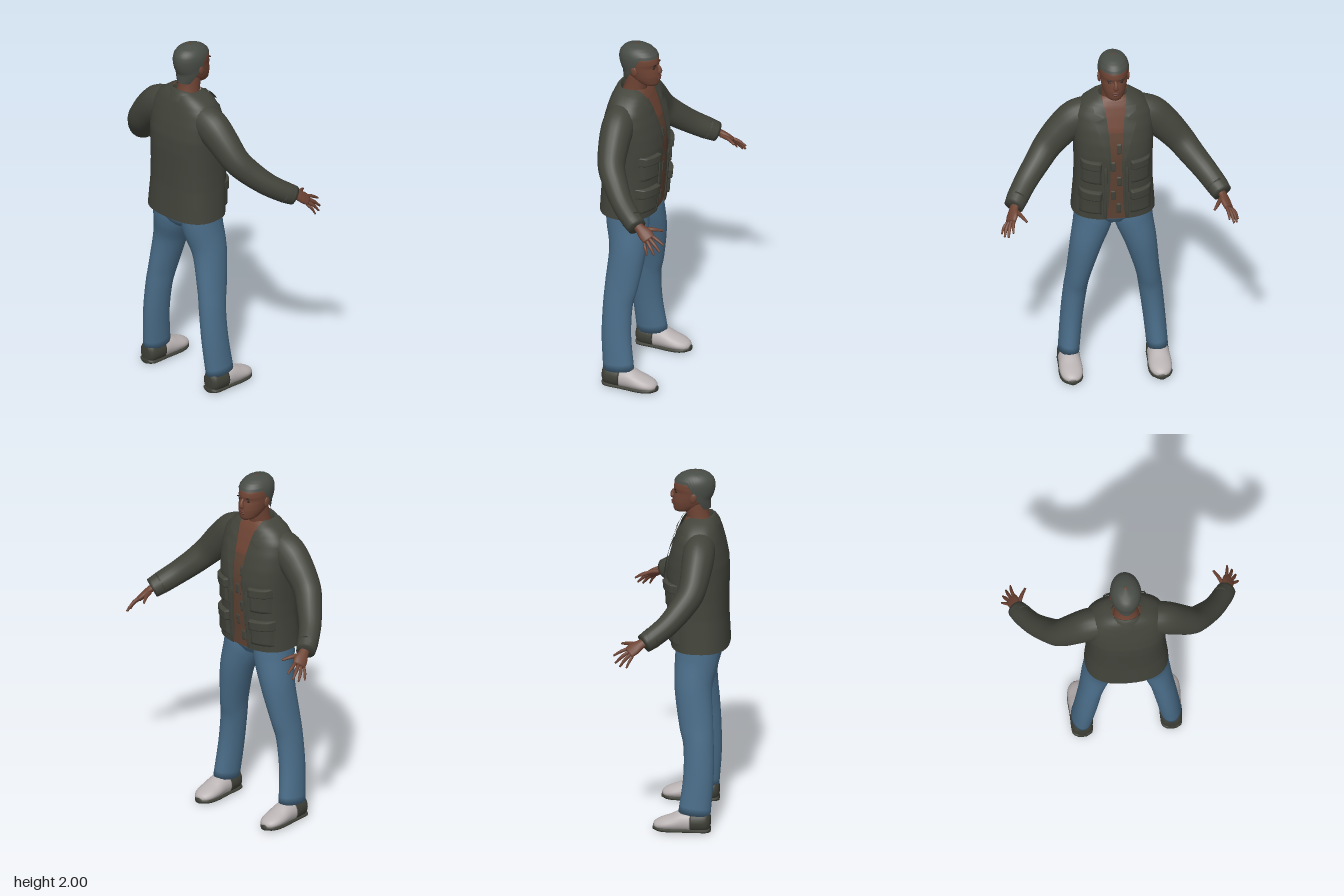
import * as THREE from 'three';

const mat = (name, color, side = THREE.FrontSide) => {
  const m = new THREE.MeshStandardMaterial({ color, side });
  m.name = name;
  return m;
};
const V = (x, y, z) => new THREE.Vector3(x, y, z);
const lerp = THREE.MathUtils.lerp;

// Grid of points from a rule (u around, v along), smooth shaded
function surface(fn, nu, nv, closed = false) {
  const pos = [], idx = [], w = closed ? nu : nu + 1;
  for (let j = 0; j <= nv; j++)
    for (let i = 0; i < w; i++) pos.push(...fn(i / nu, j / nv).toArray());
  for (let j = 0; j < nv; j++)
    for (let i = 0; i < nu; i++) {
      const a = j * w + i, b = j * w + (i + 1) % w;
      idx.push(a, b, a + w, b, b + w, a + w);
    }
  const g = new THREE.BufferGeometry();
  g.setAttribute('position', new THREE.Float32BufferAttribute(pos, 3));
  g.setIndex(idx);
  g.computeVertexNormals();
  return g;
}

// Smooth capped tube through [x, y, z, halfWidth, halfDepth] stations
function sweep(st, side = [1, 0, 0], nu = 20, floor = -1, per = 5) {
  const c = new THREE.CatmullRomCurve3(st.map(p => V(p[0], p[1], p[2])), false, 'catmullrom');
  const r = new THREE.CatmullRomCurve3(st.map(p => V(p[3], p[4], 0)), false, 'catmullrom');
  const n = (st.length - 1) * per;
  return surface((u, v) => {
    const k = Math.round(v * (n + 2)) - 1, t = Math.min(Math.max(k / n, 0), 1);
    const p = c.getPoint(t), q = r.getPoint(t), T = c.getTangent(t);
    const U = V(...side).addScaledVector(T, -V(...side).dot(T)).normalize();
    const W = V(0, 0, 0).crossVectors(T, U), end = k < 0 || k > n ? 0 : 1, a = u * Math.PI * 2;
    p.addScaledVector(U, q.x * Math.cos(a) * end).addScaledVector(W, q.y * Math.sin(a) * end);
    p.y = Math.max(p.y, floor);
    return p;
  }, nu, n + 2, true);
}

// Upright body form from rows of [y, halfWidth, frontZ, backZ, frontGap]
function form(rows, e) {
  const S = t => Math.sign(t) * Math.abs(t) ** e;
  const at = y => {
    let i = 0;
    while (i < rows.length - 2 && y > rows[i + 1][0]) i++;
    const t = THREE.MathUtils.clamp((y - rows[i][0]) / (rows[i + 1][0] - rows[i][0]), 0, 1);
    return rows[i].map((q, k) => lerp(q, rows[i + 1][k], t));
  };
  const pt = (a, y, grow = 0) => {
    const [, rx, f, b] = at(y), h = (b - f) / 2;
    return V((rx + grow) * S(Math.sin(a)), y, (f + b) / 2 - (h + grow) * S(Math.cos(a)));
  };
  const angle = (x, y) => Math.asin(Math.min(1, (Math.abs(x) / at(y)[1]) ** (1 / e))) * Math.sign(x);
  return { at, pt, angle, on: (x, y, out = 0) => pt(angle(x, y), y).add(V(0, 0, -out)) };
}

const coat = form([
  [1.015, .228, -.03, .29, .05], [1.1, .222, -.035, .286, .042], [1.2, .215, -.045, .281, .036],
  [1.3, .213, -.05, .282, .032], [1.42, .216, -.055, .285, .032], [1.5, .22, -.045, .282, .036],
  [1.58, .22, -.025, .266, .042], [1.65, .208, 0, .247, .05], [1.7, .17, .02, .232, .058],
  [1.735, .12, .04, .215, .065], [1.75, .08, .06, .2, .065]], .8);

const skull = form([
  [1.765, .02, -.005, .06], [1.772, .038, -.014, .08], [1.785, .05, -.02, .11], [1.81, .062, -.023, .15],
  [1.83, .068, -.024, .17], [1.86, .074, -.019, .19], [1.885, .077, -.012, .198], [1.905, .079, -.018, .202],
  [1.93, .079, -.014, .203], [1.955, .073, -.002, .196], [1.975, .06, .02, .18], [1.988, .043, .045, .16],
  [1.996, .02, .075, .13], [1.998, .001, .1, .105]], 1);

export function createModel() {
  const D = THREE.DoubleSide;
  const M = {
    jacket: mat('jacket olive', 0x42443b, D), jeans: mat('denim blue', 0x4a6d89),
    skin: mat('skin brown', 0x6d4333), hair: mat('hair grey', 0x484c46, D),
    shirt: mat('shirt brown', 0x5e4233, D), white: mat('shoe white', 0xb9b2b2),
    sole: mat('sole dark', 0x3e4037), lips: mat('lip brown', 0x5c352c), dark: mat('eye dark', 0x241c19)
  };
  const root = new THREE.Group();
  root.name = 'standingMan';
  const add = (name, geo, m) => {
    const o = new THREE.Mesh(geo, m);
    o.name = name;
    root.add(o);
    return o;
  };
  const ball = (name, m, p, s) => {
    const o = add(name, new THREE.SphereGeometry(1, 14, 10), m);
    o.position.set(...p);
    o.scale.set(...s);
    return o;
  };
  // Panel lying on the coat front; rims fall back so that it reads as padded
  const panel = (name, s, x0, x1, y0, y1, out, m = M.jacket, sink = 0) => add(name, surface((u, v) => {
    const k = s > 0 ? u : 1 - u, y = lerp(y1, y0, v);
    const rim = Math.min(u, 1 - u, v, 1 - v) < .01 ? 0 : 1;
    return coat.on(s * lerp(x0, x1, k), y, out * rim - sink);
  }, 12, 12), m);

  // Jacket body, open down the front
  add('jacketBody', surface((u, v) => {
    const y = lerp(1.75, 1.015, v), a0 = coat.angle(coat.at(y)[4], y);
    return coat.pt(lerp(a0, Math.PI * 2 - a0, u), y);
  }, 48, 44), M.jacket);

  // Shirt and bare upper chest under the jacket
  const inner = (name, y0, y1, m) => add(name, surface((u, v) =>
    coat.pt(u * Math.PI * 2, lerp(y1, y0, v), -.014), 40, 16, true), m);
  inner('shirt', 1.01, 1.56, M.shirt);
  inner('upperChest', 1.56, 1.745, M.skin);
  [[-1, 1.47], [1, 1.36], [-1, 1.26], [1, 1.17], [-1, 1.08]].forEach(([s, y]) =>
    panel('shirtPatch', s, .004, .028, y - .03, y + .03, .004, M.jacket, .012));

  // Folded collar around the neck
  add('collar', surface((u, v) => {
    const a = lerp(.5, Math.PI * 2 - .5, u), k = (1 + Math.cos(a)) / 2;
    const [r, dy] = [[.082, -.05], [.084, -.012], [.092, 0], [.108, -.016], [.13, -.055]][Math.round(v * 4)];
    return V(r * Math.sin(a), 1.762 + dy - .055 * k, .122 - r * .85 * Math.cos(a));
  }, 32, 4), M.jacket);

  // Head and neck
  add('head', surface((u, v) => skull.pt(u * Math.PI * 2, lerp(1.998, 1.765, v)), 32, 36, true), M.skin);
  add('neck', sweep([[0, 1.66, .135, .075, .07], [0, 1.74, .115, .062, .062], [0, 1.83, .1, .058, .062]]), M.skin);

  // Short hair: low at the nape, high over the brow
  add('hair', surface((u, v) => {
    const a = u * Math.PI * 2, c = Math.cos(a);
    const low = c > .25 ? 1.94 : c > -.1 ? lerp(1.87, 1.94, (c + .1) / .35) : lerp(1.87, 1.79, Math.min(1, (-c - .1) / .5));
    const y = lerp(1.998, low, v), p = skull.pt(a, y, .006);
    p.y += .003 * (1 - v);
    if (y < 1.86) p.z = Math.max(p.z, .1 - .085 * c);
    return p;
  }, 40, 20, true), M.hair);

  // Face
  add('nose', sweep([[0, 1.895, -.008, .007, .007], [0, 1.872, -.022, .01, .012], [0, 1.853, -.024, .016, .013],
    [0, 1.845, -.016, .011, .008]], [1, 0, 0], 12), M.skin);
  ball('upperLip', M.lips, [0, 1.823, -.022], [.022, .006, .009]);
  ball('lowerLip', M.lips, [0, 1.812, -.021], [.019, .006, .009]);

  for (const s of [1, -1]) {
    ball('eye', M.dark, [s * .03, 1.882, -.002], [.012, .005, .006]);
    ball('eyebrow', M.dark, [s * .031, 1.9, -.008], [.018, .004, .005]).rotation.z = -s * .1;
    ball('ear', M.skin, [s * .079, 1.865, .095], [.009, .029, .019]).rotation.x = .2;

    // Lapel with a notch
    add('lapel', surface((u, v) => {
      const k = s > 0 ? u : 1 - u, y = lerp(1.71, 1.34, v);
      const w = v < .12 ? .06 : v < .2 ? .028 : .072 * (1 - (v - .2) / .8);
      return coat.on(s * (coat.at(y)[4] - .002 + w * k), y, .008 + .006 * k);
    }, 6, 24), M.jacket);

    // Front edge and four flapped pockets
    panel('frontPlacket', s, .05, .068, 1.02, 1.36, .006);
    panel('chestPocket', s, .082, .188, 1.25, 1.38, .014);
    panel('chestPocketFlap', s, .078, .192, 1.345, 1.4, .024);
    panel('lowerPocket', s, .08, .195, 1.05, 1.18, .016);
    panel('lowerPocketFlap', s, .076, .199, 1.145, 1.205, .026);

    // Sleeve and cuff
    const X = st => st.map(([x, ...r]) => [s * x, ...r]);
    add('sleeve', sweep(X([[.11, 1.63, .14, .08, .08], [.2, 1.585, .137, .088, .1], [.28, 1.515, .13, .083, .092],
      [.36, 1.425, .112, .074, .08], [.42, 1.355, .065, .068, .072], [.49, 1.282, -.005, .06, .065],
      [.55, 1.222, -.09, .055, .06], [.567, 1.206, -.118, .048, .05]]), [0, 0, 1]), M.jacket);
    add('cuff', sweep(X([[.541, 1.23, -.078, .058, .061], [.57, 1.202, -.125, .052, .055]]), [0, 0, 1]), M.jacket);

    // Hand with four fingers and a thumb
    const across = [s * .7, -.6, .4];
    add('palm', sweep(X([[.55, 1.222, -.1, .028, .024], [.57, 1.2, -.14, .028, .02], [.582, 1.178, -.175, .038, .019],
      [.595, 1.156, -.205, .036, .015]]), across, 14), M.skin);
    const finger = (name, a, b, r) => add(name, sweep(X([[...a, r, r],
      [lerp(a[0], b[0], .5) + .004, lerp(a[1], b[1], .5) + .006, lerp(a[2], b[2], .5), r, r * .95],
      [...b, r * .55, r * .55]]), across, 8), M.skin);
    finger('indexFinger', [.574, 1.176, -.2], [.59, 1.135, -.288], .0095);
    finger('middleFinger', [.588, 1.163, -.2], [.615, 1.102, -.276], .01);
    finger('ringFinger', [.602, 1.15, -.195], [.634, 1.088, -.25], .0095);
    finger('littleFinger', [.612, 1.14, -.183], [.645, 1.085, -.213], .008);
    finger('thumb', [.558, 1.19, -.155], [.512, 1.178, -.25], .0115);

    // Trouser leg
    add('trouserLeg', sweep(X([[.105, 1.06, .125, .104, .115], [.109, .95, .118, .107, .119], [.148, .8, .103, .088, .103],
      [.187, .6, .122, .067, .093], [.205, .48, .137, .064, .083], [.225, .3, .138, .061, .083],
      [.242, .1, .118, .058, .088]]), [1, 0, 0], 24), M.jeans);

    // Shoe: dark heel and sole, pale upper
    add('shoeHeel', sweep(X([[.243, .06, .205, .03, .04], [.243, .06, .185, .052, .06], [.243, .06, .14, .06, .062],
      [.243, .06, .098, .061, .062]]), [1, 0, 0], 20, .004), M.sole);
    add('shoeUpper', sweep(X([[.243, .06, .1, .06, .061], [.243, .06, .055, .061, .06], [.243, .05, 0, .064, .045],
      [.243, .042, -.05, .06, .034], [.243, .035, -.085, .044, .024], [.243, .03, -.102, .022, .012]]),
    [1, 0, 0], 20, .014), M.white);
    add('shoeSole', sweep(X([[.243, .014, .206, .03, .014], [.243, .014, .18, .056, .015], [.243, .014, .08, .06, .015],
      [.243, .015, -.01, .065, .017], [.243, .017, -.07, .055, .018], [.243, .022, -.108, .022, .014]]),
    [1, 0, 0], 16, 0), M.sole);
  }

  // Hips of the trousers
  add('trouserHips', sweep([[0, 1.08, .125, .2, .12], [0, 1.02, .124, .208, .122], [0, .98, .12, .17, .116],
    [0, .945, .115, .08, .09]], [1, 0, 0], 28), M.jeans);
  return root;
}
